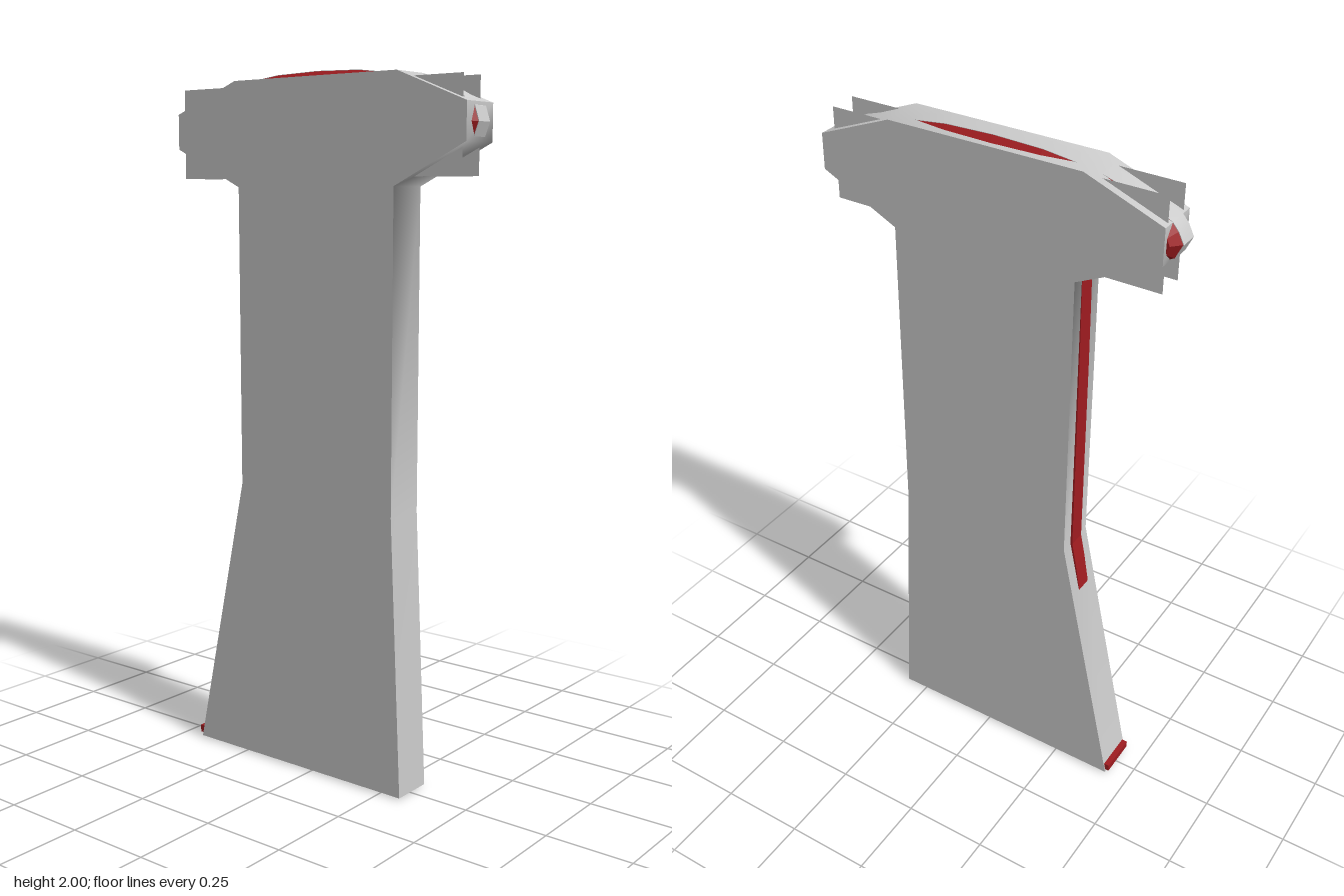
import * as THREE from 'three';
import { toCreasedNormals } from 'three/addons/utils/BufferGeometryUtils.js';

const grey = new THREE.MeshStandardMaterial({ color: 0xcccccc });
const greySheet = new THREE.MeshStandardMaterial({ color: 0xcccccc, side: THREE.DoubleSide });
const red = new THREE.MeshStandardMaterial({ color: 0xa01c20 });
const darkRed = new THREE.MeshStandardMaterial({ color: 0x4a0c0e });

const toShape = (points) => new THREE.Shape(points.map(([x, y]) => new THREE.Vector2(x, y)));

// Extrude an outline, centred on z = 0, with an optional inward chamfer
function slab(points, depth, chamfer = 0) {
  const geometry = new THREE.ExtrudeGeometry(toShape(points), {
    depth,
    bevelEnabled: chamfer > 0,
    bevelThickness: chamfer,
    bevelSize: chamfer * 0.85,
    bevelOffset: -chamfer * 0.85,
    bevelSegments: 1,
  });
  return geometry.translate(0, 0, -depth / 2);
}

export function createModel() {
  const group = new THREE.Group();
  const add = (name, geometry, material, x = 0, y = 0, z = 0) => {
    const mesh = new THREE.Mesh(geometry, material);
    mesh.name = name;
    mesh.position.set(x, y, z);
    group.add(mesh);
    return mesh;
  };

  // Flared shaft and faceted head in one slab
  const bodyOutline = [
    [-0.43, 0.005], [0.32, 0.005], [0.283, 0.8], [0.283, 1.69],
    [0.505, 1.8], [0.505, 1.9], [0.29, 1.985], [-0.27, 1.985],
    [-0.49, 1.9], [-0.49, 1.8], [-0.258, 1.69], [-0.255, 0.83],
  ];
  add('body', toCreasedNormals(slab(bodyOutline, 0.124), 1.15), grey);

  // Chamfered core that swells through the rim of the head
  const coreOutline = [
    [0.22, 1.72], [0.4, 1.76], [0.503, 1.81], [0.518, 1.85], [0.505, 1.89],
    [0.475, 1.912], [0.42, 1.94], [0.35, 1.961], [0.24, 1.984], [0.14, 1.996], [0, 2],
    [-0.14, 1.996], [-0.24, 1.984], [-0.3, 1.973], [-0.41, 1.94], [-0.49, 1.9],
    [-0.507, 1.88], [-0.522, 1.85], [-0.503, 1.81], [-0.4, 1.755], [-0.2, 1.72],
  ];
  add('headCore', slab(coreOutline, 0.05, 0.025), red);

  // Grey band around the middle of the core, a hair larger
  const bandOutline = coreOutline.map(([x, y]) => [x * 1.002, 1.85 + (y - 1.85) * 1.002]);
  add('headBand', toCreasedNormals(slab(bandOutline, 0.052), 0.6), grey);

  // Thin rectangular sheets whose corners show beyond the head
  for (const z of [-0.04, 0.04]) {
    add('headSheet', new THREE.PlaneGeometry(0.965, 0.255), greySheet, -0.0025, 1.8425, z);
  }

  // Narrow strip along the shaft edge
  const stripOutline = [
    [-0.24, 1.69], [-0.259, 1.69], [-0.261, 1.4], [-0.261, 0.83],
    [-0.275, 0.76], [-0.29, 0.67], [-0.26, 0.67], [-0.24, 0.83],
  ];
  add('edgeStrip', slab(stripOutline, 0.05), red);

  // Small bar at the toe of the flare
  add('toeBar', new THREE.BoxGeometry(0.022, 0.022, 0.118), red, -0.429, 0.025, 0);

  // Square sockets under the base: nested frames over a dark plate
  for (const [x, width] of [[0.24, 0.12], [-0.36, 0.09]]) {
    add('socketPlate', new THREE.BoxGeometry(width, 0.004, 0.088), darkRed, x, 0.005, 0);
    for (const scale of [1, 0.45]) {
      const w = (width * scale) / 2, d = 0.044 * scale, inner = 0.7;
      const frame = toShape([[-w, -d], [w, -d], [w, d], [-w, d]]);
      frame.holes.push(toShape([[-w, -d], [-w, d], [w, d], [w, -d]].map(([a, b]) => [a * inner, b * inner])));
      const geometry = new THREE.ExtrudeGeometry(frame, { depth: 0.006, bevelEnabled: false });
      add('socketFrame', geometry.rotateX(-Math.PI / 2), red, x, 0, 0);
    }
  }

  return group;
}
